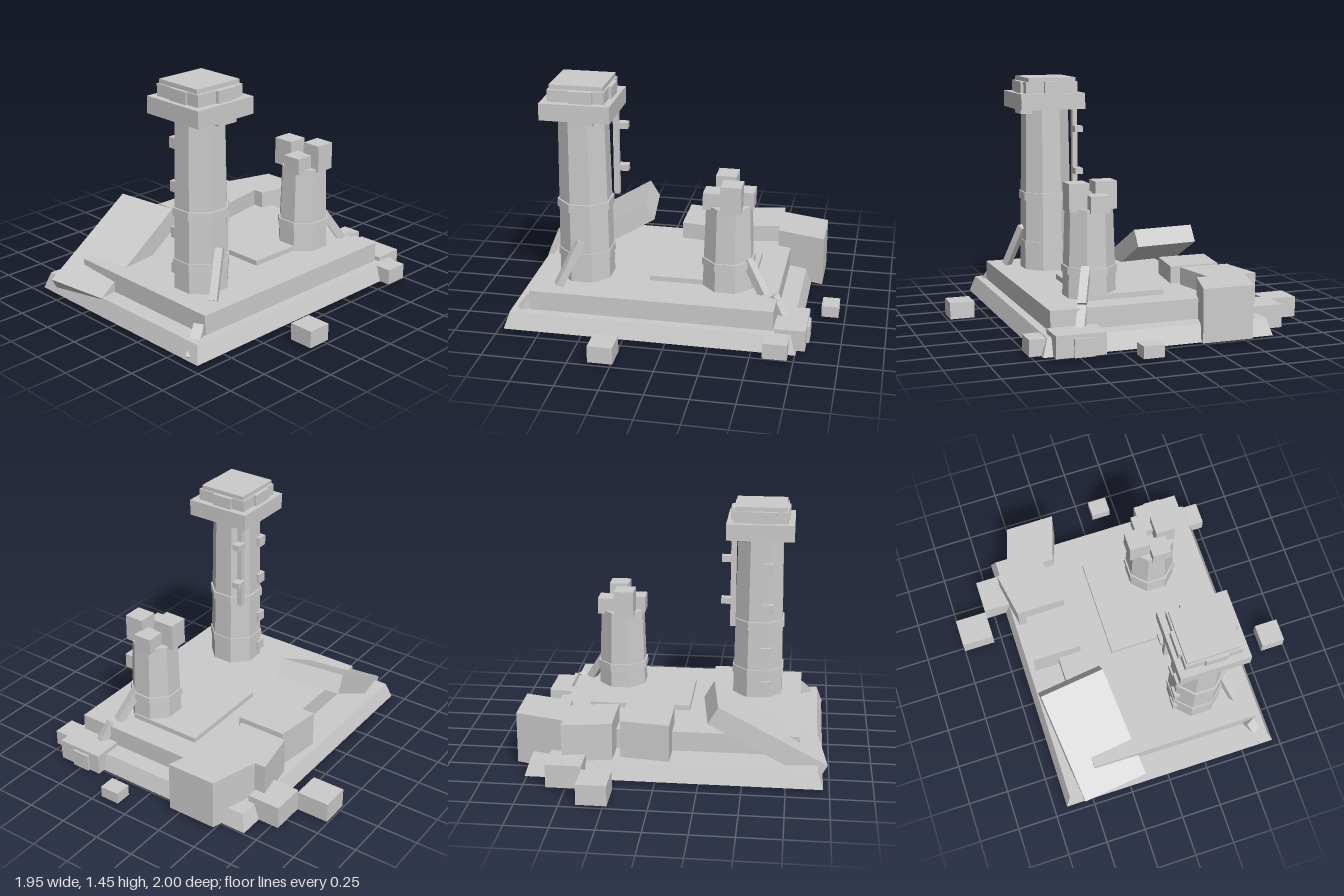
import * as THREE from 'three';

const stone = new THREE.MeshStandardMaterial({ color: 0xcccccc });
stone.name = 'stone';

// Flat facets: unshare the vertices and recompute the normals
function facet(geometry) {
  const g = geometry.index ? geometry.toNonIndexed() : geometry;
  g.computeVertexNormals();
  return g;
}

function add(parent, name, geometry) {
  const mesh = new THREE.Mesh(geometry, stone);
  mesh.name = name;
  parent.add(mesh);
  return mesh;
}

// Box given by its limits on each axis
function block(parent, name, x0, x1, y0, y1, z0, z1) {
  const mesh = add(parent, name, new THREE.BoxGeometry(x1 - x0, y1 - y0, z1 - z0));
  mesh.position.set((x0 + x1) / 2, (y0 + y1) / 2, (z0 + z1) / 2);
  return mesh;
}

// Eight-sided drum; sizes are the distances from axis to flat face
function drum(parent, name, bottom, top, y0, y1) {
  const k = 1 / Math.cos(Math.PI / 8);
  const g = new THREE.CylinderGeometry(top * k, bottom * k, y1 - y0, 8);
  g.rotateY(Math.PI / 8);
  const mesh = add(parent, name, facet(g));
  mesh.position.y = (y0 + y1) / 2;
  return mesh;
}

// Square beam between two points
function beam(parent, name, a, b, width) {
  const p = new THREE.Vector3(...a), q = new THREE.Vector3(...b);
  const mesh = add(parent, name, new THREE.BoxGeometry(width, width, p.distanceTo(q)));
  mesh.position.copy(p).add(q).multiplyScalar(0.5);
  mesh.lookAt(q);
  return mesh;
}

// Skewed wall block: the z limits shift linearly from one x end to the other
function skewBlock(parent, name, x0, x1, back0, back1, depth, y0, y1) {
  const s = new THREE.Shape([
    new THREE.Vector2(x0, -back0 - depth), new THREE.Vector2(x1, -back1 - depth),
    new THREE.Vector2(x1, -back1), new THREE.Vector2(x0, -back0),
  ]);
  const g = new THREE.ExtrudeGeometry(s, { depth: y1 - y0, bevelEnabled: false });
  g.rotateX(-Math.PI / 2);
  g.translate(0, y0, 0);
  return add(parent, name, g);
}

export function createModel() {
  const model = new THREE.Group();
  model.name = 'ruinedFort';

  // Foundation: sloped slab, upper terrace and floor plate
  const slab = new THREE.BoxGeometry(1.72, 0.1, 1.376);
  const pos = slab.attributes.position;
  for (let i = 0; i < pos.count; i++) {
    if (pos.getY(i) > 0) {
      pos.setX(i, pos.getX(i) * 0.962);
      pos.setZ(i, pos.getZ(i) * 0.953);
    }
  }
  add(model, 'foundation', facet(slab)).position.set(-0.103, 0.075, 0.017);
  block(model, 'terrace', -0.825, 0.617, 0.12, 0.245, -0.442, 0.622);
  block(model, 'floorPlate', -0.155, 0.46, 0.24, 0.276, -0.11, 0.352);

  // Tall tower with bands and a stepped head
  const tall = new THREE.Group();
  tall.name = 'tallTower';
  tall.position.set(-0.55, 0, 0.297);
  model.add(tall);
  drum(tall, 'tallShaft', 0.153, 0.137, 0.24, 1.28);
  drum(tall, 'lowerBand', 0.158, 0.157, 0.38, 0.427);
  drum(tall, 'upperBand', 0.157, 0.156, 0.688, 0.737);
  block(tall, 'headSlab', -0.205, 0.205, 1.264, 1.364, -0.203, 0.208);
  block(tall, 'headDrum', -0.165, 0.165, 1.36, 1.434, -0.165, 0.165);
  block(tall, 'headCap', -0.156, 0.156, 1.43, 1.46, -0.155, 0.148);
  block(tall, 'frontMerlon', -0.035, 0.1, 1.235, 1.435, 0.11, 0.184);
  block(tall, 'backMerlon', -0.09, 0.05, 1.36, 1.435, -0.18, -0.1);
  block(tall, 'leftMerlon', 0.1, 0.183, 1.36, 1.435, -0.08, 0.05);
  block(tall, 'rightMerlon', -0.176, -0.1, 1.36, 1.435, -0.05, 0.08);

  // Hanging rail with two brackets
  block(tall, 'rail', 0.14, 0.174, 0.713, 1.27, -0.16, -0.128);
  for (const y of [1.143, 0.88]) {
    block(tall, 'railBracket', 0.16, 0.229, y - 0.019, y + 0.019, -0.178, -0.128);
  }

  // Projecting bricks up the rear of the shaft
  for (const y of [0.32, 0.54, 0.82, 1.08]) {
    block(tall, 'rearBrick', -0.085, -0.02, y - 0.032, y + 0.032, -0.163, -0.1);
  }

  // Short tower with four broken crown blocks
  const short = new THREE.Group();
  short.name = 'shortTower';
  short.position.set(0.308, 0, 0.293);
  model.add(short);
  drum(short, 'shortShaft', 0.145, 0.129, 0.24, 0.76);
  drum(short, 'shortBand', 0.151, 0.149, 0.383, 0.427);
  block(short, 'backCrown', -0.086, 0.035, 0.745, 0.908, -0.16, -0.03);
  block(short, 'frontCrown', -0.033, 0.087, 0.745, 0.908, 0.025, 0.145);
  block(short, 'leftCrown', 0.03, 0.147, 0.74, 0.84, -0.08, 0.037);
  block(short, 'rightCrown', -0.143, -0.025, 0.74, 0.84, -0.03, 0.087);

  // Leaning struts and fallen beams
  beam(model, 'tallStrut', [-0.55, 0.51, 0.45], [-0.67, 0.25, 0.525], 0.045);
  beam(model, 'shortStrut', [0.425, 0.43, 0.35], [0.535, 0.245, 0.41], 0.05);
  beam(model, 'fallenBeamRight', [-0.82, 0.17, 0.575], [-0.935, 0.03, 0.635], 0.06);
  beam(model, 'fallenBeamLeft', [0.59, 0.25, 0.425], [0.71, 0.03, 0.49], 0.05);

  // Collapsed slab resting on the terrace
  const ramp = new THREE.Group();
  ramp.name = 'collapsedSlab';
  ramp.rotation.set(0, THREE.MathUtils.degToRad(7), THREE.MathUtils.degToRad(30), 'YXZ');
  ramp.position.set(-0.335, 0.488, -0.425);
  model.add(ramp);
  block(ramp, 'slabPanel', -0.73, 0, -0.118, 0, -0.2075, 0.2075);

  // Broken rear wall
  skewBlock(model, 'rearWallInner', -0.08, 0.21, -0.603, -0.565, 0.308, 0.04, 0.35);
  skewBlock(model, 'rearWallMiddle', 0.25, 0.538, -0.609, -0.661, 0.307, 0.04, 0.35);
  skewBlock(model, 'rearWallOuter', 0.538, 0.83, -0.592, -0.508, 0.307, 0.04, 0.35);

  // Scattered rubble: x, y and z limits
  const rubble = [
    [0.4, 0.608, 0.025, 0.165, -0.802, -0.6],
    [0.225, 0.4, 0.025, 0.147, -1, -0.8],
    [0.86, 0.962, 0.025, 0.095, 0.082, 0.204],
    [-0.38, -0.235, 0.025, 0.126, 0.846, 0.995],
    [0.626, 0.805, 0.025, 0.152, 0.357, 0.648],
    [0.7, 0.82, 0.025, 0.13, 0.43, 0.545],
    [0.574, 0.715, 0.025, 0.12, 0.635, 0.772],
  ];
  for (const r of rubble) block(model, 'rubble', ...r);

  return model;
}
